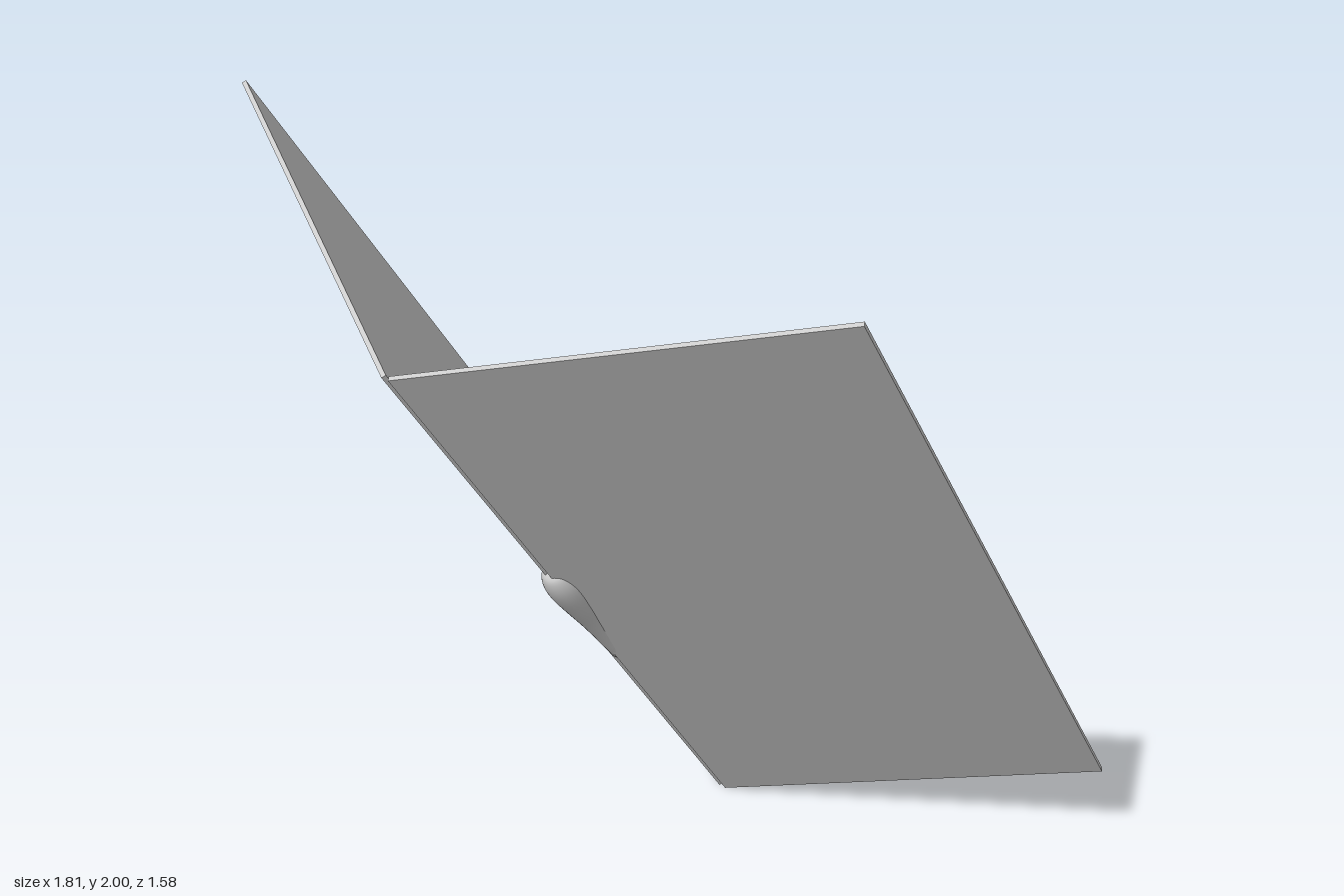
import * as THREE from 'three';

const LENGTH = 2.055, WIDTH = 1.0275, THICK = 0.011;

export function createModel() {
  const root = new THREE.Group();
  const grey = new THREE.MeshStandardMaterial({ color: 0xcccccc });

  // Tilted frame: local z runs along the body, local y points out of the back
  const butterfly = new THREE.Group();
  butterfly.name = 'butterfly';
  butterfly.position.z = -0.35;
  butterfly.rotation.x = -0.983;
  root.add(butterfly);

  // Thin square-cornered wings, hinged at the spine with a narrow gap
  const addWing = (name, side, hingeX, angle) => {
    const geo = new THREE.BoxGeometry(WIDTH, THICK, LENGTH);
    geo.translate(side * WIDTH / 2, THICK / 2, LENGTH / 2);
    const wing = new THREE.Mesh(geo, grey);
    wing.name = name;
    wing.position.x = hingeX;
    wing.rotation.z = side * THREE.MathUtils.degToRad(angle);
    butterfly.add(wing);
  };
  addWing('leftWing', 1, 0.001, 28.6);
  addWing('rightWing', -1, -0.0185, 30.1);

  // Plump body, wide at the head and slimmer towards the tail
  const profile = new THREE.SplineCurve([
    [0, 0], [0.018, 0.006], [0.028, 0.025], [0.031, 0.06], [0.033, 0.13],
    [0.037, 0.21], [0.043, 0.29], [0.047, 0.36], [0.044, 0.405],
    [0.033, 0.437], [0.016, 0.449], [0, 0.452],
  ].map(([r, s]) => new THREE.Vector2(r, s))).getPoints(44);
  profile.forEach(p => { p.x = Math.max(p.x, 0); });
  const bodyGeo = new THREE.LatheGeometry(profile, 32);
  bodyGeo.rotateX(Math.PI / 2);
  const body = new THREE.Mesh(bodyGeo, grey);
  body.name = 'body';
  body.position.set(-0.0095, 0.031, 0.75);
  body.rotation.x = 0.025;
  butterfly.add(body);

  return root;
}
